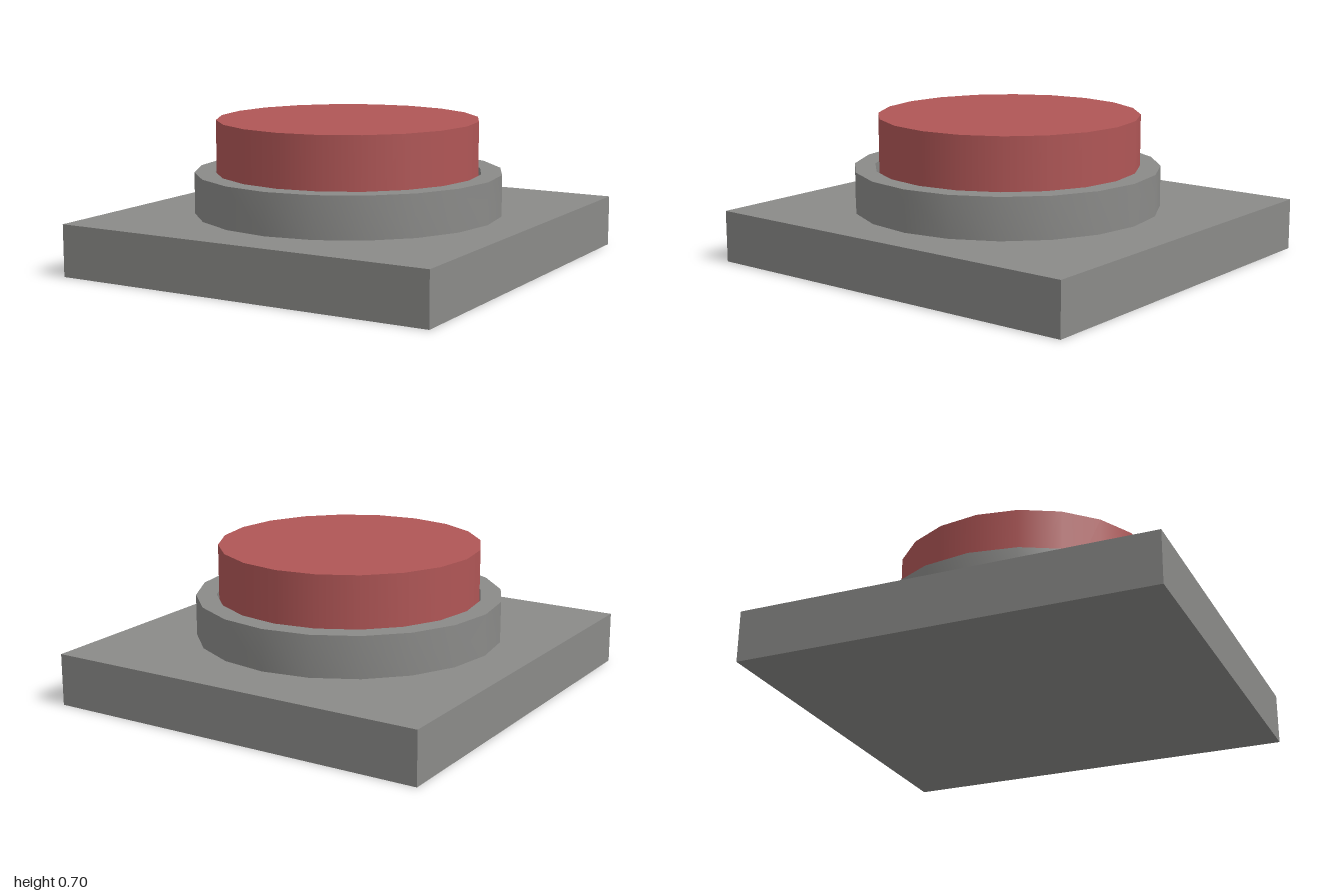
import * as THREE from 'three';
import { toCreasedNormals } from 'three/addons/utils/BufferGeometryUtils.js';

const SIDES = 20;

export function createModel() {
  const model = new THREE.Group();
  model.name = 'pushButton';

  const grey = new THREE.MeshStandardMaterial({ color: 0x8a8a88 });
  grey.name = 'housing grey';
  const red = new THREE.MeshStandardMaterial({ color: 0xb05656 });
  red.name = 'button red';

  const add = (name, geometry, material, x, y, z) => {
    const mesh = new THREE.Mesh(geometry, material);
    mesh.name = name;
    mesh.position.set(x, y, z);
    model.add(mesh);
  };

  // Square base plate
  add('basePlate', new THREE.BoxGeometry(1.91, 0.25, 2), grey, 0, 0.125, 0);

  // Hollow collar around the button
  const profile = [[0.743, 0], [0.743, 0.2], [0.643, 0.2], [0.643, 0], [0.743, 0]]
    .map(([r, y]) => new THREE.Vector2(r, y));
  const collar = toCreasedNormals(new THREE.LatheGeometry(profile, SIDES), 0.6);
  add('collar', collar, grey, 0.01, 0.25, 0.027);

  // Button cap, seated on the plate inside the collar
  add('buttonCap', new THREE.CylinderGeometry(0.634, 0.634, 0.45, SIDES), red, 0.002, 0.475, 0.021);

  return model;
}
